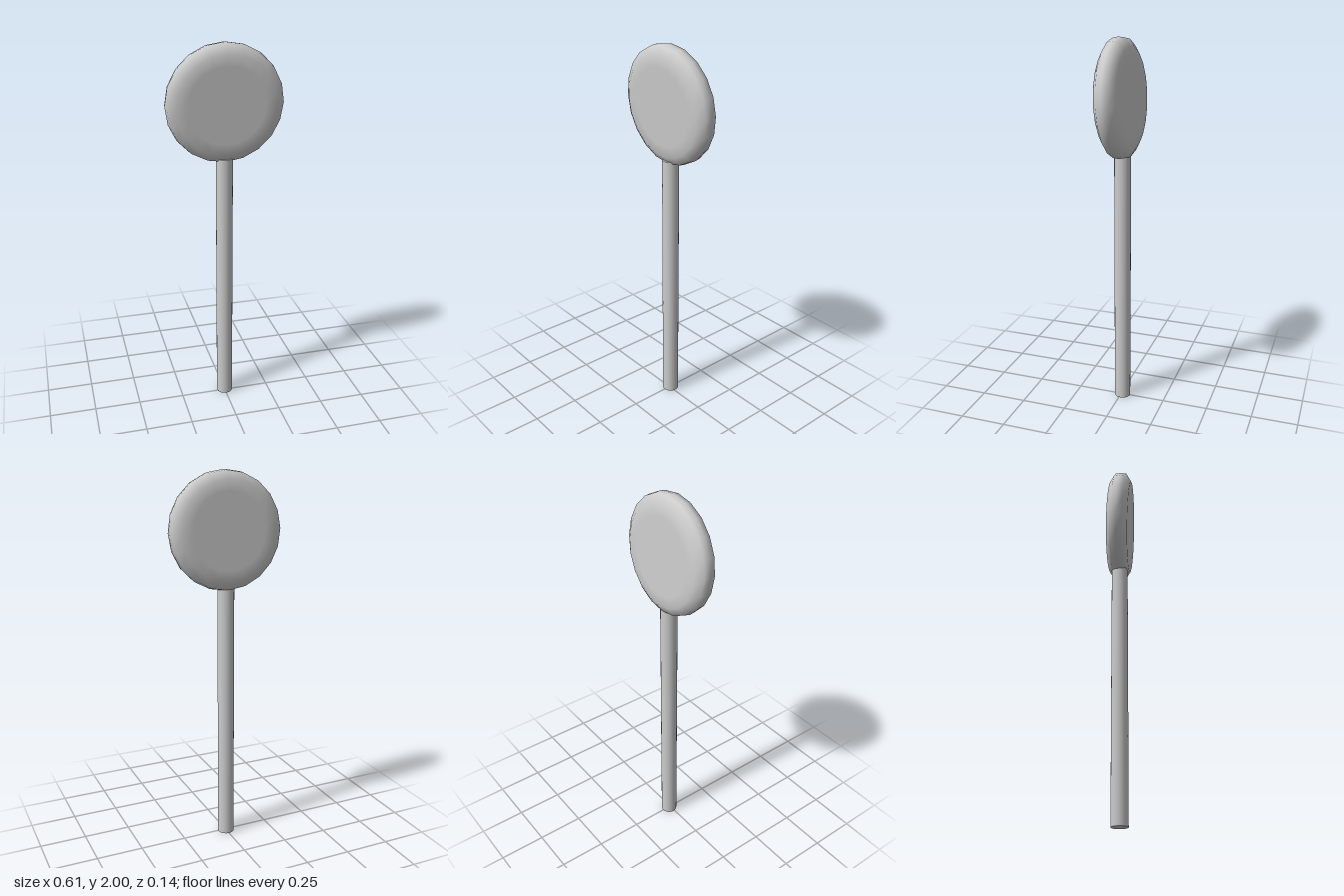
import * as THREE from 'three';

export function createModel() {
  const model = new THREE.Group();
  const material = new THREE.MeshStandardMaterial({ color: 0xcccccc });

  // Straight round stick, ending just inside the candy disc
  const stick = new THREE.Mesh(new THREE.CylinderGeometry(0.044, 0.044, 1.412, 20), material);
  stick.name = 'stick';
  stick.position.set(0, 0.706, -0.008);
  model.add(stick);

  // Flat disc with a rounded rim, turned about its own axis
  const profile = [
    [0, -0.058], [0.2, -0.058], [0.257, -0.057], [0.299, -0.031], [0.304, 0],
    [0.299, 0.031], [0.257, 0.057], [0.2, 0.058], [0, 0.058],
  ].map(([r, h]) => new THREE.Vector2(r, h));
  const disc = new THREE.Mesh(new THREE.LatheGeometry(profile, 20), material);
  disc.name = 'candyDisc';
  disc.position.set(0, 1.697, -0.002);
  // Faces the front, with the top leaning slightly forward
  disc.rotation.x = Math.PI / 2 + 0.057;
  model.add(disc);

  return model;
}
